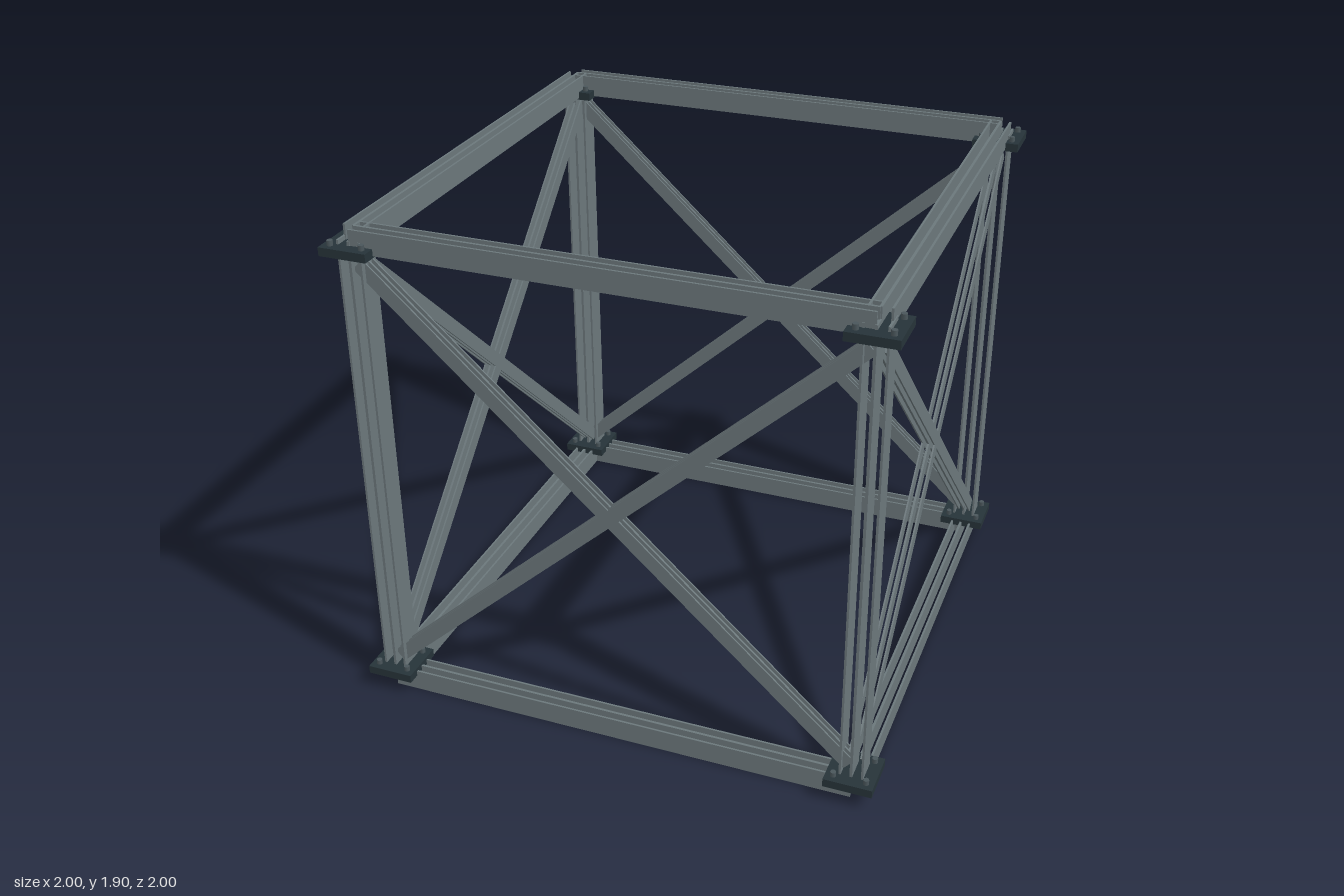
import * as THREE from 'three';

const HALF = 0.91;            // frame corner offset in x and z
const LOW = 0.0425, HIGH = 1.86; // beam centre heights
const MID = (LOW + HIGH) / 2;

export function createModel() {
  const steel = new THREE.MeshStandardMaterial({ color: 0x6b777b });
  steel.name = 'steel';
  const darkSteel = new THREE.MeshStandardMaterial({ color: 0x263339 });
  darkSteel.name = 'dark steel';
  const boltSteel = new THREE.MeshStandardMaterial({ color: 0x4a565b });
  boltSteel.name = 'bolt steel';

  const model = new THREE.Group();
  model.name = 'steelFrame';

  // A member is three parallel plates running from a to b, stacked along normal
  function addMember(name, a, b, normal, width, depth, flange, web) {
    const group = new THREE.Group();
    group.name = name;
    const along = b.clone().sub(a);
    const length = along.length();
    along.normalize();
    const side = normal.clone().cross(along);
    group.quaternion.setFromRotationMatrix(new THREE.Matrix4().makeBasis(normal, along, side));
    group.position.copy(a).add(b).multiplyScalar(0.5);
    for (const s of [-1, 0, 1]) {
      const thick = s ? flange : web;
      const plate = new THREE.Mesh(new THREE.BoxGeometry(thick, length, width), steel);
      plate.name = s ? 'flange' : 'web';
      plate.position.x = s * (depth - flange) / 2;
      group.add(plate);
    }
    model.add(group);
  }

  const v = (x, y, z) => new THREE.Vector3(x, y, z);
  const alongX = v(1, 0, 0), alongZ = v(0, 0, 1);

  // Horizontal beams, bottom and top
  for (const y of [LOW, HIGH]) {
    for (const s of [-1, 1]) {
      addMember('beam', v(-HALF, y, s * HALF), v(HALF, y, s * HALF), alongZ, 0.083, 0.083, 0.008, 0.01);
      addMember('beam', v(s * HALF, y, -HALF), v(s * HALF, y, HALF), alongX, 0.083, 0.083, 0.008, 0.01);
    }
  }

  // Crossed braces on the four sides
  const reach = 0.895, rise = 0.82;
  for (const s of [-1, 1]) {
    for (const d of [-1, 1]) {
      addMember('brace', v(-reach, MID - d * rise, s * HALF), v(reach, MID + d * rise, s * HALF),
        alongZ, 0.054, 0.052, 0.006, 0.008);
      addMember('brace', v(s * HALF, MID - d * rise, -reach), v(s * HALF, MID + d * rise, reach),
        alongX, 0.054, 0.052, 0.006, 0.008);
    }
  }

  // Columns with bolted plates at both ends
  const plateShape = new THREE.BoxGeometry(0.18, 0.032, 0.18);
  const boltShape = new THREE.CylinderGeometry(0.011, 0.011, 0.05, 8);
  for (const x of [-HALF, HALF]) {
    for (const z of [-HALF, HALF]) {
      addMember('column', v(x, LOW, z), v(x, HIGH, z), alongX, 0.09, 0.09, 0.008, 0.01);
      for (const y of [0.08, 1.828]) {
        const joint = new THREE.Group();
        joint.name = 'joint';
        joint.position.set(x, y, z);
        const plate = new THREE.Mesh(plateShape, darkSteel);
        plate.name = 'jointPlate';
        joint.add(plate);
        for (const bx of [-0.06, 0.06]) {
          for (const bz of [-0.06, 0.06]) {
            const bolt = new THREE.Mesh(boltShape, boltSteel);
            bolt.name = 'bolt';
            bolt.position.set(bx, 0.01, bz);
            joint.add(bolt);
          }
        }
        model.add(joint);
      }
    }
  }
  return model;
}
